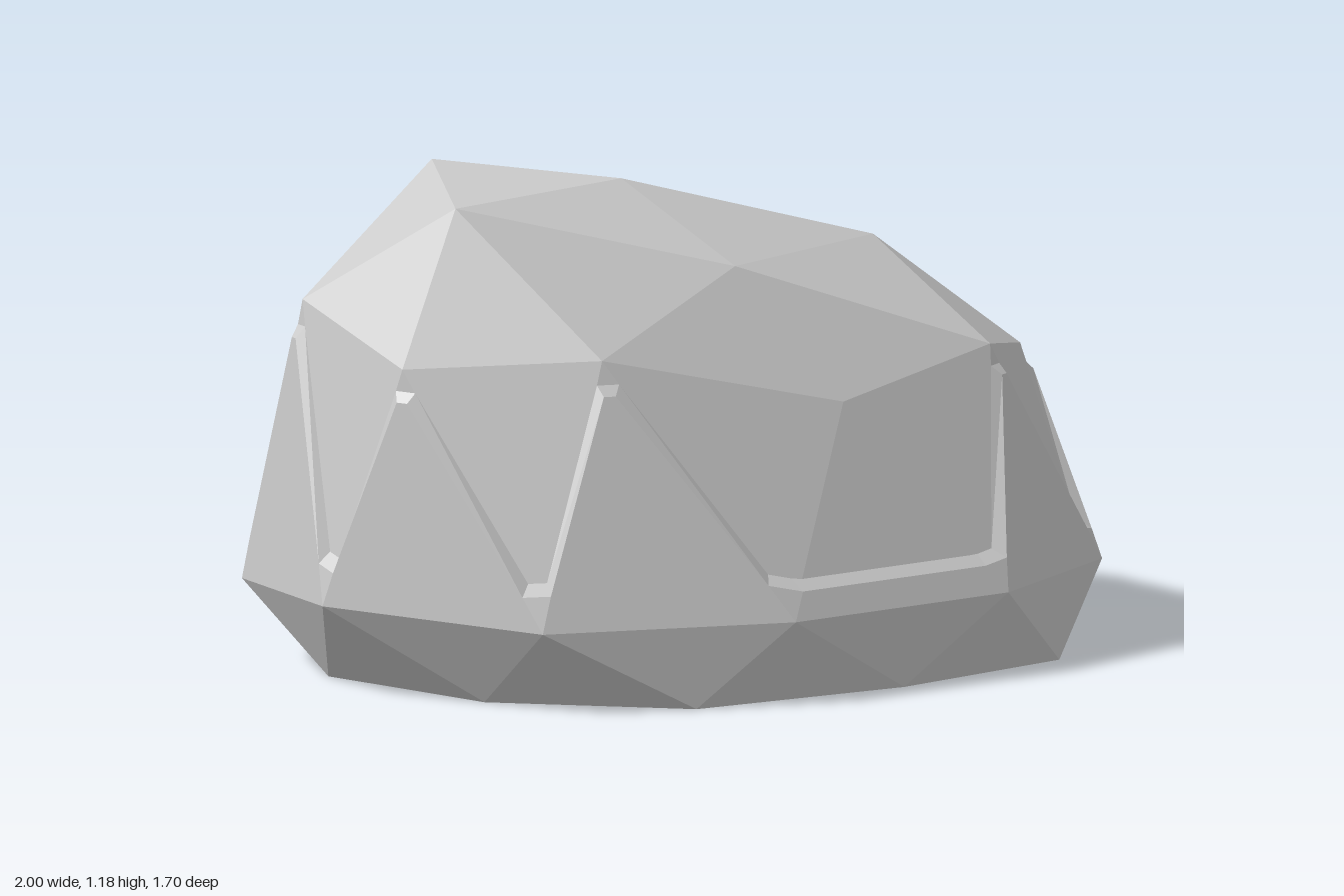
import * as THREE from 'three';

const V = (x, y, z) => new THREE.Vector3(x, y, z);
const N = 10;

// Rings run from +x round towards +z; foot i and shoulder i sit between waist i and i + 1
const foot = [[0.94, 0.08], [0.81, 0.54], [0.33, 0.73], [-0.24, 0.81], [-0.67, 0.53],
  [-0.88, 0.07], [-0.72, -0.36], [-0.3, -0.68], [0.27, -0.68], [0.79, -0.39]]
  .map(([x, z]) => V(x, 0, z));
const waist = [[1, -0.19], [1, 0.35], [0.62, 0.68], [0, 0.85], [-0.62, 0.77],
  [-1, 0.32, 0.22], [-0.99, -0.2], [-0.61, -0.63], [0, -0.85], [0.61, -0.69]]
  .map(([x, z, y = 0.2]) => V(x, y, z));
const shoulder = [[0.91, 0.68, 0.06], [0.69, 0.75, 0.4], [0.24, 0.67, 0.57], [-0.4, 0.82, 0.61],
  [-0.84, 0.8, 0.43], [-0.93, 0.91, 0.03], [-0.76, 0.79, -0.38], [-0.28, 0.78, -0.69],
  [0.28, 0.68, -0.81], [0.72, 0.76, -0.42]].map(p => V(...p));
const crown = [[0.53, 0.97, 0.06], [0.04, 0.98, 0.38], [-0.64, 1.15, 0.28],
  [-0.5, 1.18, -0.2], [0.15, 1.0, -0.42]].map(p => V(...p));
const summit = V(-0.12, 1.15, 0.06);
const plainFacets = [2, 6, 7]; // facets whose rim stays low, without a spike

const at = (ring, i) => ring[(i + ring.length) % ring.length];
const mix = (a, b, t) => a.clone().lerp(b, t);
const widen = (p, f) => V(p.x * f, p.y, p.z * f);

// Faceted mesh from a list of convex polygons, each split as a fan
function facetMesh(name, polygons) {
  const points = [];
  for (const poly of polygons)
    for (let i = 1; i < poly.length - 1; i++) points.push(poly[0], poly[i], poly[i + 1]);
  const geometry = new THREE.BufferGeometry().setFromPoints(points);
  geometry.computeVertexNormals();
  const mesh = new THREE.Mesh(geometry,
    new THREE.MeshStandardMaterial({ color: 0xcccccc, flatShading: true }));
  mesh.name = name;
  return mesh;
}

const innerWaist = waist.map(p => widen(p, 0.975));
const outerShoulder = shoulder.map(p => widen(p, 1.02));

// Rock: faceted dome rising from just inside the shell
function rock() {
  const faces = [];
  for (let i = 0; i < N; i++) {
    const next = at(innerWaist, i + 1);
    faces.push([innerWaist[i], shoulder[i], next], [next, shoulder[i], at(shoulder, i + 1)]);
  }
  crown.forEach((c, k) => {
    const cNext = at(crown, k + 1);
    const [r0, r1, r2] = [-1, 0, 1].map(d => at(shoulder, 2 * k + d));
    faces.push([r0, c, r1], [r1, c, r2], [c, cNext, r2], [summit, cNext, c]);
  });
  return facetMesh('rock', faces);
}

// Base: tapered underside from the waist to the flat ground face
function base() {
  const faces = [foot];
  for (let i = 0; i < N; i++) {
    const next = at(waist, i + 1);
    faces.push([waist[i], next, foot[i]], [next, at(foot, i + 1), foot[i]]);
  }
  return facetMesh('base', faces);
}

// Shell: raised jagged collar with blunt spikes and a bevelled rim
function shell() {
  const faces = [], rim = [], seat = [];
  const lip = (m, s) => mix(at(waist, m), at(outerShoulder, s), 0.14);
  // Point on the rock beside the lip, nudged into the notch above waist m
  const lipSeat = (m, s, other) => {
    const o = at(innerWaist, m);
    return o.clone().addScaledVector(at(shoulder, s).clone().sub(o), 0.14)
      .addScaledVector(at(shoulder, other).clone().sub(o), 0.045);
  };
  for (let i = 0; i < N; i++) {
    const a = lip(i, i), b = lip(i + 1, i);
    const edge = [a], under = [lipSeat(i, i, i - 1)];
    if (!plainFacets.includes(i)) {
      const s = outerShoulder[i];
      const t0 = mix(waist[i], s, 0.87), t1 = mix(at(waist, i + 1), s, 0.87);
      edge.push(mix(t0, t1, 0.32), mix(t0, t1, 0.68));
      under.push(mix(innerWaist[i], shoulder[i], 0.91),
        mix(at(innerWaist, i + 1), shoulder[i], 0.91));
    }
    edge.push(b);
    under.push(lipSeat(i + 1, i, i + 1));
    faces.push([waist[i], ...edge, at(waist, i + 1)], [waist[i], lip(i, i - 1), a]);
    rim.push(...edge);
    seat.push(...under);
  }
  rim.forEach((p, j) => faces.push([p, seat[j], at(seat, j + 1), at(rim, j + 1)]));
  return facetMesh('shell', faces);
}

export function createModel() {
  const group = new THREE.Group();
  group.name = 'boulder';
  group.add(rock(), base(), shell());
  return group;
}
